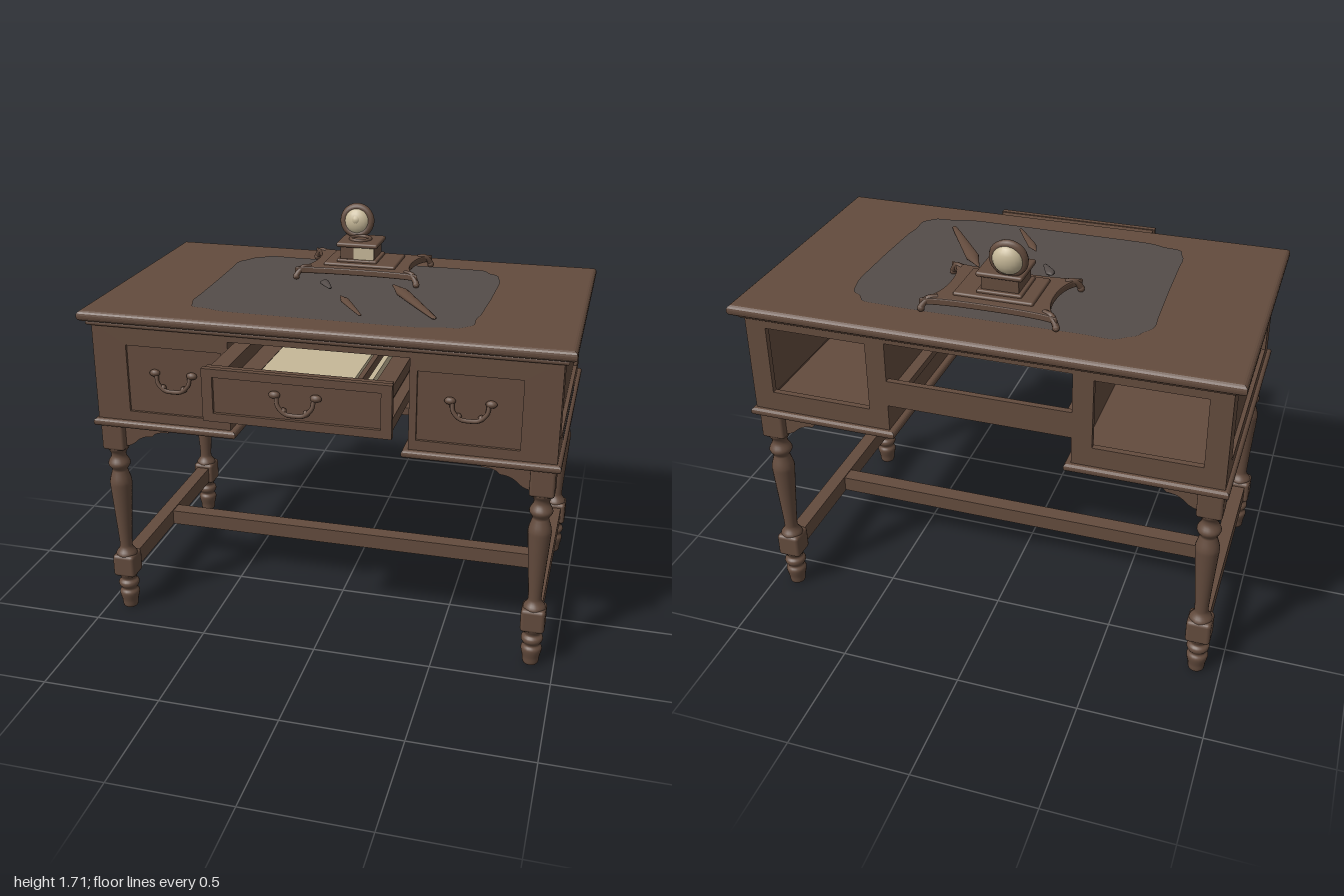
import * as THREE from 'three';
import { RoundedBoxGeometry } from 'three/addons/geometries/RoundedBoxGeometry.js';

const mat = (name, color) => Object.assign(new THREE.MeshStandardMaterial({ color }), { name });

export function createModel() {
  const wood = mat('brown wood', 0x634b3d);
  const grey = mat('grey leather', 0x544c49);
  const cream = mat('cream paper', 0xc6b898);
  const root = new THREE.Group();
  root.name = 'writingDesk';

  const add = (name, geo, material = wood, x = 0, y = 0, z = 0, parent = root) => {
    const m = new THREE.Mesh(geo, material);
    m.name = name;
    m.position.set(x, y, z);
    parent.add(m);
    return m;
  };
  // Box given by its minimum and maximum corners
  const box = (name, x0, x1, y0, y1, z0, z1, material = wood, parent = root) =>
    add(name, new THREE.BoxGeometry(x1 - x0, y1 - y0, z1 - z0), material,
      (x0 + x1) / 2, (y0 + y1) / 2, (z0 + z1) / 2, parent);
  const rect = (C, x0, x1, y0, y1) => new C([[x0, y0], [x1, y0], [x1, y1], [x0, y1]]
    .map(p => new THREE.Vector2(...p)));
  // Flat frame in the xy plane with one rectangular opening
  const frame = (o, h, depth) => {
    const s = rect(THREE.Shape, ...o);
    s.holes.push(rect(THREE.Path, ...h));
    return new THREE.ExtrudeGeometry(s, { depth, bevelEnabled: false });
  };
  // Horizontal board with a rounded edge
  const board = (name, x0, x1, y0, y1, z0, z1, b) => {
    const t = (y1 - y0) * 0.42;
    const g = new THREE.ExtrudeGeometry(rect(THREE.Shape, x0 + b, x1 - b, -z1 + b, -z0 - b), {
      depth: y1 - y0 - 2 * t, bevelSize: b, bevelThickness: t, bevelSegments: 4,
    });
    return add(name, g.rotateX(-Math.PI / 2).translate(0, y0 + t, 0));
  };

  // Table top with a small moulding below
  board('tableTop', -1, 1, 1.367, 1.413, -0.74, 0.45, 0.02);
  board('topMoulding', -0.972, 0.972, 1.347, 1.37, -0.707, 0.427, 0.012);

  // Leather writing surface with a slightly worn outline
  const pts = [];
  for (let i = 0; i < 72; i++) {
    const a = i / 72 * Math.PI * 2, c = Math.cos(a), s = Math.sin(a);
    const k = 1 + 0.012 * Math.sin(a * 7) + 0.008 * Math.sin(a * 13 + 1);
    pts.push(new THREE.Vector2(0.6 * k * Math.sign(c) * Math.abs(c) ** 0.27,
      0.12 + 0.44 * k * Math.sign(s) * Math.abs(s) ** 0.27));
  }
  add('writingSurface', new THREE.ShapeGeometry(new THREE.Shape(pts)).rotateX(-Math.PI / 2), grey, 0, 1.416, 0);

  // Bail handle with two knobs
  const handle = (x, y, z) => {
    const g = new THREE.Group();
    g.name = 'drawerHandle';
    g.position.set(x, y, z);
    root.add(g);
    const curve = new THREE.CatmullRomCurve3([[-0.072, 0.03, 0.008], [-0.066, -0.005, 0.016],
      [-0.035, -0.034, 0.02], [0, -0.038, 0.02], [0.035, -0.034, 0.02], [0.066, -0.005, 0.016],
      [0.072, 0.03, 0.008]].map(p => new THREE.Vector3(...p)));
    add('bail', new THREE.TubeGeometry(curve, 24, 0.009, 8), wood, 0, 0, 0, g);
    for (const s of [-1, 1]) {
      add('knob', new THREE.SphereGeometry(0.019, 12, 8).scale(1.2, 0.8, 0.8), wood, s * 0.08, 0.034, 0.006, g);
      add('mount', new THREE.SphereGeometry(0.014, 10, 8), wood, s * 0.045, -0.026, 0.012, g);
    }
  };

  // Pedestals, open at the back
  for (const s of [-1, 1]) {
    const span = (a, b) => s > 0 ? [a, b] : [-b, -a];
    board('baseMoulding', ...span(0.345, 0.972), 0.905, 0.938, -0.71, 0.43, 0.014);
    const o = [...span(0.37, 0.955), 0.935, 1.36];
    add('frontFrame', frame(o, [...span(0.4, 0.81), 0.98, 1.27], 0.025), wood, 0, 0, 0.385);
    box('frontPanel', ...span(0.39, 0.83), 0.96, 1.3, 0.37, 0.398);
    add('backFrame', frame(o, [...span(0.45, 0.87), 1.02, 1.31], 0.025), wood, 0, 0, -0.69);
    box('innerWall', ...span(0.37, 0.39), 0.935, 1.36, -0.67, 0.39);
    const hz = s > 0 ? [-0.307, 0.578] : [-0.578, 0.307];
    const oz = s > 0 ? [-0.409, 0.689] : [-0.689, 0.409];
    const side = add('sideFrame', frame([...oz, 0.935, 1.36], [...hz, 0.993, 1.315], 0.025), wood, s * 0.93);
    side.rotation.y = s * Math.PI / 2;
    box('sidePanel', ...span(0.915, 0.938), 0.96, 1.34, -0.61, 0.34);
    handle(s * 0.61, 1.125, 0.4);
    box('drawerRunner', ...span(0.325, 0.37), 1.075, 1.105, -0.66, 0.39);
  }
  box('wornStrip', 0.954, 0.958, 0.945, 0.972, -0.38, 0.18, grey);

  // Rails between the pedestals
  box('frontTopRail', -0.37, 0.37, 1.32, 1.36, 0.38, 0.41);
  box('backTopRail', -0.37, 0.37, 1.325, 1.36, -0.69, -0.665);
  box('backLowerRail', -0.37, 0.37, 1.05, 1.16, -0.69, -0.665);

  // Open centre drawer with its contents
  add('drawerFrontFrame', frame([-0.367, 0.367, 1.106, 1.318], [-0.325, 0.325, 1.14, 1.285], 0.025), wood, 0, 0, 0.687);
  box('drawerFront', -0.36, 0.36, 1.11, 1.314, 0.655, 0.698);
  handle(0, 1.205, 0.704);
  for (const s of [-1, 1]) {
    add('drawerSide', new THREE.BoxGeometry(0.03, 0.18, 0.56), wood, s * 0.305, 1.21, 0.38);
    for (const y of [1.145, 1.275])
      add('drawerSideRail', new THREE.BoxGeometry(0.04, 0.05, 0.56), wood, s * 0.34, y, 0.38);
  }
  box('drawerFloor', -0.31, 0.31, 1.122, 1.14, 0.1, 0.66);
  box('drawerBack', -0.31, 0.31, 1.12, 1.3, 0.1, 0.125);
  box('drawerDivider', 0.19, 0.21, 1.14, 1.26, 0.12, 0.655);
  box('drawerTray', -0.29, -0.21, 1.14, 1.24, 0.12, 0.655);
  box('paperStack', -0.2, 0.175, 1.14, 1.25, 0.13, 0.61, cream);
  box('looseLetter', 0.225, 0.245, 1.14, 1.25, 0.13, 0.6, cream);

  // Turned legs with square blocks and scrolled brackets
  const lathe = p => new THREE.LatheGeometry(new THREE.SplineCurve(p.map(q => new THREE.Vector2(...q))).getPoints(50), 20);
  const foot = lathe([[0.001, 0], [0.03, 0.003], [0.036, 0.035], [0.044, 0.075], [0.034, 0.095],
    [0.045, 0.115], [0.044, 0.13], [0.033, 0.145], [0.044, 0.17], [0.044, 0.185]]);
  const shaft = lathe([[0.044, 0.255], [0.046, 0.275], [0.03, 0.3], [0.028, 0.33], [0.036, 0.45], [0.046, 0.59],
    [0.047, 0.63], [0.036, 0.67], [0.034, 0.685], [0.046, 0.705], [0.046, 0.72], [0.033, 0.745],
    [0.034, 0.765], [0.046, 0.785], [0.046, 0.8]]);
  const bs = new THREE.Shape();
  bs.moveTo(0, 0);
  bs.lineTo(0, -0.105);
  bs.quadraticCurveTo(0.03, -0.1, 0.05, -0.08);
  bs.quadraticCurveTo(0.08, -0.05, 0.125, -0.05);
  bs.quadraticCurveTo(0.14, -0.025, 0.2, -0.025);
  bs.lineTo(0.205, 0);
  const bracket = new THREE.ExtrudeGeometry(bs, { depth: 0.04, bevelEnabled: false }).translate(0.045, 0, -0.02);
  for (const sx of [-1, 1]) {
    for (const [z, sz] of [[0.36, 1], [-0.635, -1]]) {
      const leg = new THREE.Group();
      leg.name = sz > 0 ? 'frontLeg' : 'backLeg';
      leg.position.set(sx * 0.903, 0, z);
      root.add(leg);
      add('foot', foot, wood, 0, 0, 0, leg);
      add('shaft', shaft, wood, 0, 0, 0, leg);
      add('lowerBlock', new RoundedBoxGeometry(0.1, 0.105, 0.1, 2, 0.015), wood, 0, 0.22, 0, leg);
      add('upperBlock', new RoundedBoxGeometry(0.1, 0.125, 0.1, 2, 0.012), wood, 0, 0.85, 0, leg);
      add('sideBracket', bracket, wood, 0, 0.907, 0, leg).rotation.y = sz * Math.PI / 2;
      add('longBracket', bracket, wood, 0, 0.907, 0, leg).rotation.y = sx > 0 ? Math.PI : 0;
    }
    add('sideStretcher', new THREE.BoxGeometry(0.06, 0.075, 0.95), wood, sx * 0.903, 0.216, -0.138);
  }
  add('longStretcher', new THREE.BoxGeometry(1.78, 0.068, 0.07), wood, 0, 0.215, -0.138);

  // Ink stand on a tray with flared corners
  const stand = new THREE.Group();
  stand.name = 'inkStand';
  stand.position.set(0, 1.413, -0.385);
  root.add(stand);
  const tray = new THREE.Shape();
  tray.moveTo(-0.265, -0.17);
  tray.quadraticCurveTo(-0.22, -0.145, 0, -0.145);
  tray.quadraticCurveTo(0.22, -0.145, 0.265, -0.17);
  tray.quadraticCurveTo(0.205, -0.12, 0.205, 0);
  tray.quadraticCurveTo(0.205, 0.12, 0.265, 0.17);
  tray.quadraticCurveTo(0.22, 0.145, 0, 0.145);
  tray.quadraticCurveTo(-0.22, 0.145, -0.265, 0.17);
  tray.quadraticCurveTo(-0.205, 0.12, -0.205, 0);
  tray.quadraticCurveTo(-0.205, -0.12, -0.265, -0.17);
  add('tray', new THREE.ExtrudeGeometry(tray, { depth: 0.018, bevelSize: 0.006, bevelThickness: 0.006, bevelSegments: 2 })
    .rotateX(-Math.PI / 2), wood, 0, 0.034, 0, stand);
  add('trayStep', new RoundedBoxGeometry(0.32, 0.02, 0.23, 2, 0.008), wood, 0, 0.06, 0, stand);
  for (const x of [-1, 1]) for (const z of [-1, 1]) {
    const curl = new THREE.CatmullRomCurve3([[0.21, 0.052, 0.135], [0.245, 0.05, 0.155],
      [0.262, 0.028, 0.168], [0.27, 0.01, 0.175]].map(p => new THREE.Vector3(p[0] * x, p[1], p[2] * z)));
    add('trayFoot', new THREE.TubeGeometry(curl, 10, 0.013, 8), wood, 0, 0, 0, stand);
    add('footTip', new THREE.SphereGeometry(0.015, 10, 8), wood, 0.267 * x, 0.015, 0.172 * z, stand);
  }
  add('wellFoot', new RoundedBoxGeometry(0.18, 0.016, 0.18, 2, 0.006), wood, -0.017, 0.074, 0, stand);
  add('wellBody', new THREE.BoxGeometry(0.15, 0.08, 0.15), wood, -0.017, 0.105, 0, stand);
  add('wellCap', new RoundedBoxGeometry(0.185, 0.02, 0.18, 2, 0.008), wood, -0.017, 0.145, 0, stand);
  add('wellRim', new THREE.TorusGeometry(0.043, 0.009, 8, 24).rotateX(Math.PI / 2), wood, -0.02, 0.156, 0, stand);
  add('wellLabel', new THREE.BoxGeometry(0.09, 0.055, 0.006), cream, 0.012, 0.107, 0.077, stand);

  // Raised round lid
  const lid = new THREE.Group();
  lid.name = 'inkLid';
  lid.position.set(-0.052, 0.22, -0.07);
  lid.rotation.x = -0.12;
  stand.add(lid);
  add('lidRing', new THREE.TorusGeometry(0.06, 0.018, 10, 28), wood, 0, 0, 0, lid);
  add('lidFace', new THREE.SphereGeometry(0.055, 20, 12).scale(1, 1, 0.4), wood, 0, 0, 0.002, lid);
  add('lidButton', new THREE.SphereGeometry(0.026, 14, 10), cream, 0, 0.005, 0.015, lid);
  add('lidDome', new THREE.SphereGeometry(0.062, 20, 12).scale(1, 1, 0.7), cream, 0, 0, -0.006, lid);
  add('lidHinge', new THREE.CylinderGeometry(0.014, 0.02, 0.03, 12), wood, 0, -0.066, 0, lid);

  // Pens: flattened spindles lying on the top
  const pen = (name, x0, z0, x1, z1, r, material) => {
    const len = Math.hypot(x1 - x0, z1 - z0);
    const g = new THREE.LatheGeometry([[0.0005, 0], [0.2 * r, 0.02], [0.45 * r, 0.1], [r, 0.24], [0.8 * r, 0.5],
      [0.5 * r, 0.85], [0.35 * r, 0.98], [0.0005, 1]].map(p => new THREE.Vector2(p[0], p[1] * len)), 12);
    g.rotateX(Math.PI / 2).scale(1, 0.6, 1);
    const m = add(name, g, material, x0, 1.436, z0);
    m.rotation.order = 'YXZ';
    m.rotation.set(0.03, Math.atan2(x1 - x0, z1 - z0), 0);
  };
  pen('largePen', 0.175, -0.165, 0.43, 0.22, 0.028, wood);
  pen('smallPen', 0, 0.05, 0.14, 0.27, 0.018, wood);
  pen('penNib', -0.13, -0.15, -0.07, -0.055, 0.02, grey);
  return root;
}
